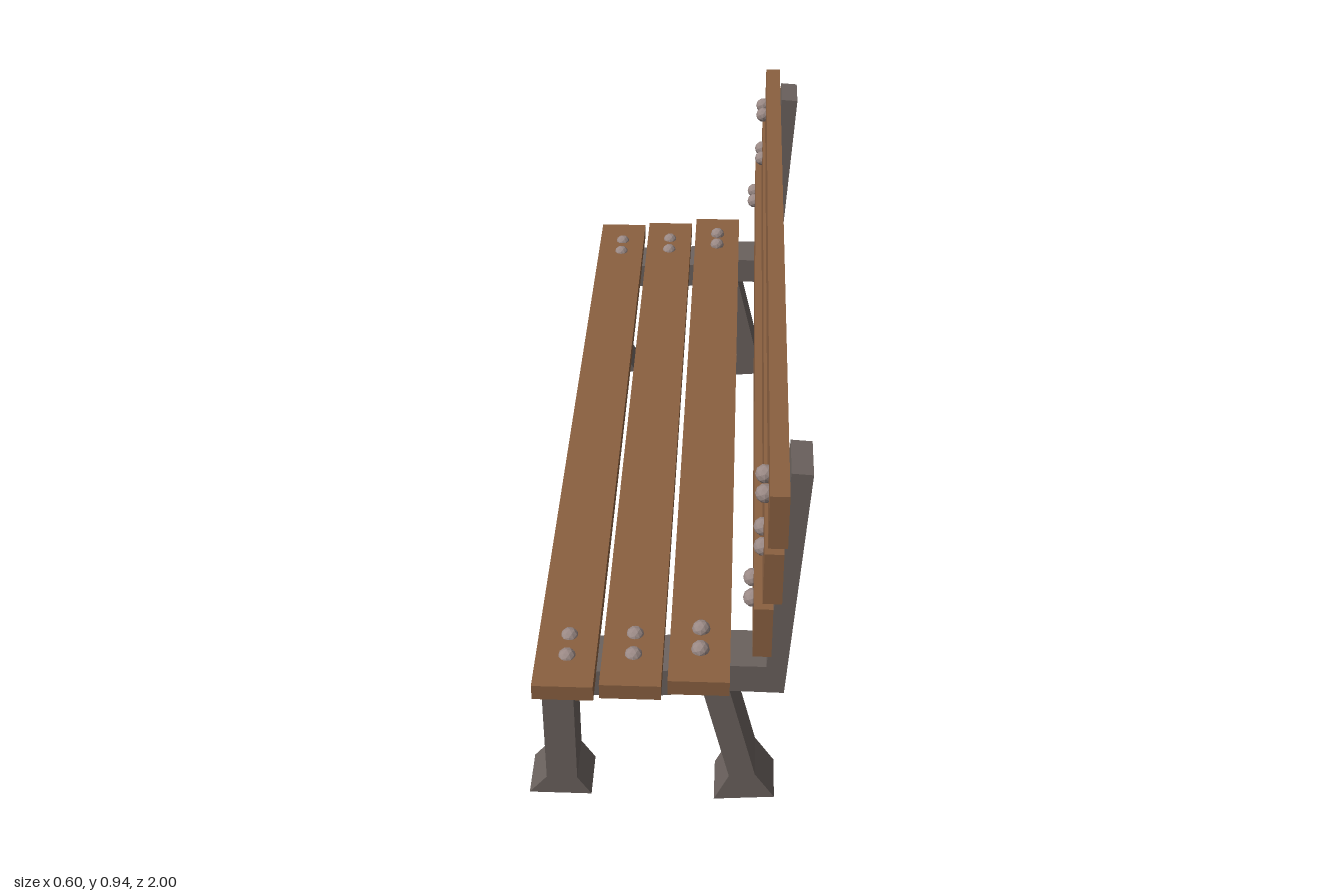
import * as THREE from 'three';

const wood = new THREE.MeshStandardMaterial({ color: 0x8a6040, flatShading: true });
const iron = new THREE.MeshStandardMaterial({ color: 0x6a615d, flatShading: true });
const steel = new THREE.MeshStandardMaterial({ color: 0x9a8985, flatShading: true });

// Side outline of one support: front leg, seat rail, rear leg, back post
const OUTLINE = [
  [-0.302, 0.005], [-0.161, 0.005], [-0.192, 0.056], [-0.192, 0.315], [-0.02, 0.318],
  [0.09, 0.332], [0.15, 0.075], [0.117, 0], [0.253, 0.012], [0.208, 0.083],
  [0.147, 0.34], [0.264, 0.338], [0.302, 0.928], [0.258, 0.931], [0.224, 0.413],
  [0.13, 0.413], [0, 0.392], [-0.13, 0.386], [-0.261, 0.381], [-0.261, 0.056],
];
const FRAME_Z = 0.862;
const FRAME_WIDTH = 0.113;

// Slat centres with the centre of their bolts
const SEAT = [
  { x: -0.205, y: 0.399, bolt: [-0.203, 0.413] },
  { x: -0.062, y: 0.407, bolt: [-0.06, 0.422] },
  { x: 0.082, y: 0.424, bolt: [0.083, 0.445] },
];
const BACK = [
  { x: 0.2115, y: 0.584, bolt: [0.19, 0.595] },
  { x: 0.2285, y: 0.728, bolt: [0.208, 0.733] },
  { x: 0.235, y: 0.872, bolt: [0.208, 0.869] },
];

function add(parent, name, geometry, material, x, y, z) {
  const mesh = new THREE.Mesh(geometry, material);
  mesh.name = name;
  mesh.position.set(x, y, z);
  parent.add(mesh);
}

export function createModel() {
  const bench = new THREE.Group();
  bench.name = 'bench';

  // Two end supports
  const shape = new THREE.Shape(OUTLINE.map(([x, y]) => new THREE.Vector2(x, y)));
  const support = new THREE.ExtrudeGeometry(shape, { depth: FRAME_WIDTH, bevelEnabled: false });
  support.translate(0, 0, -FRAME_WIDTH / 2);
  for (const side of [-1, 1]) add(bench, 'endSupport', support, iron, 0, 0, side * FRAME_Z);

  // Slats, each held by a pair of bolts at either end
  const boltGeometry = new THREE.IcosahedronGeometry(0.02, 1);
  function addSlats(name, slats, width, height) {
    const geometry = new THREE.BoxGeometry(width, height, 2);
    for (const { x, y, bolt } of slats) {
      const group = new THREE.Group();
      group.name = name;
      add(group, name + 'Plank', geometry, wood, x, y, 0);
      for (const z of [-0.903, -0.839, 0.839, 0.903]) {
        add(group, 'bolt', boltGeometry, steel, bolt[0], bolt[1], z);
      }
      bench.add(group);
    }
  }
  addSlats('seatSlat', SEAT, 0.13, 0.038);
  addSlats('backSlat', BACK, 0.039, 0.129);

  return bench;
}
